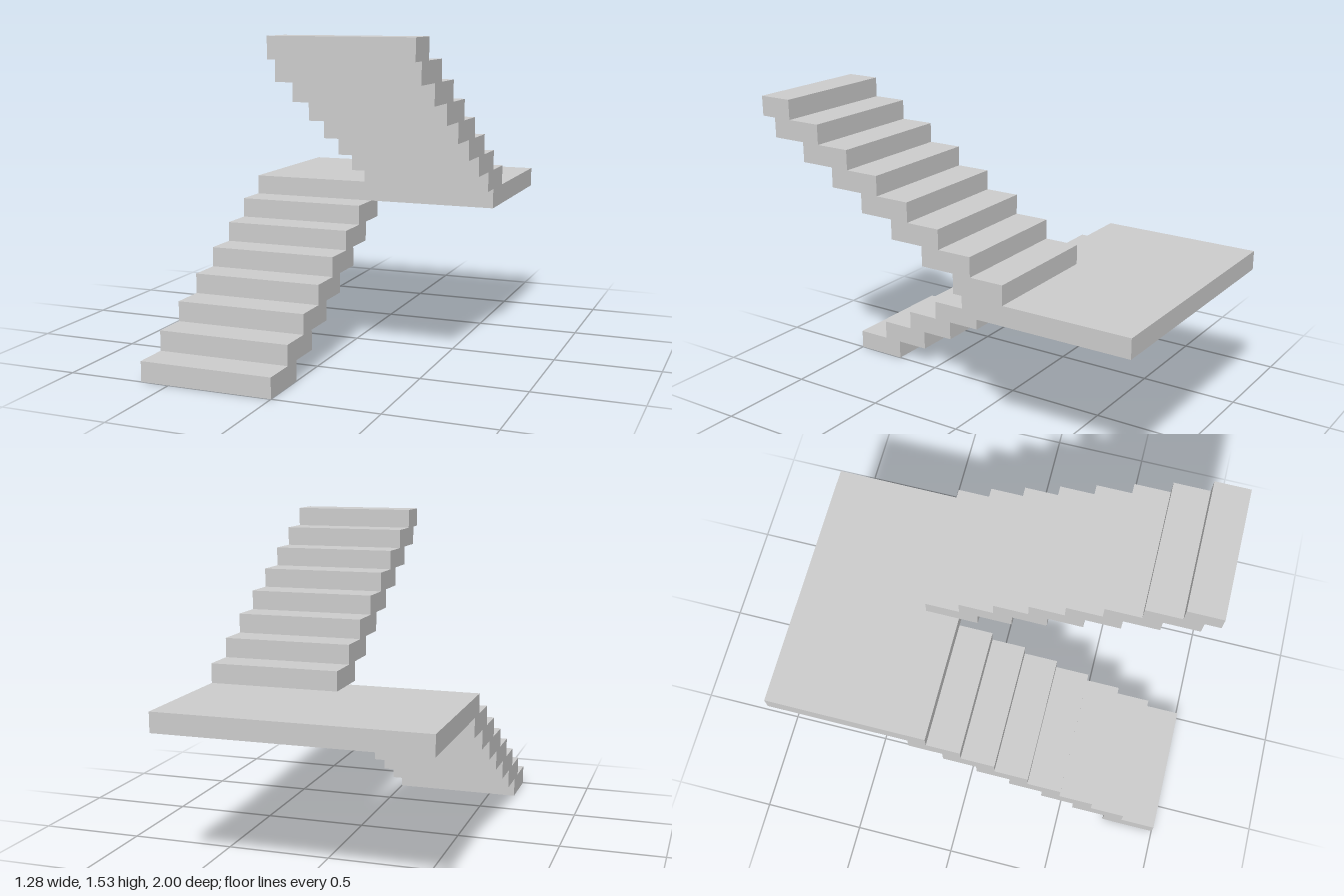
import * as THREE from 'three';

const RISE = 0.0959, RUN = 0.171, TREAD = 0.264, WIDTH = 0.638;
const LANDING_TOP = 8 * RISE;

export function createModel() {
  const model = new THREE.Group();
  const material = new THREE.MeshStandardMaterial({ color: 0xcccccc, flatShading: true });

  function add(name, geometry) {
    const mesh = new THREE.Mesh(geometry, material);
    mesh.name = name;
    model.add(mesh);
    return mesh;
  }

  // Sawtooth slab: stepped above and below, climbing along z in direction dir
  function flight(name, steps, startZ, startY, dir) {
    const above = [], below = [];
    for (let i = 0; i < steps; i++) {
      const front = startZ + dir * RUN * i;
      const back = Math.min(front + dir * TREAD, 1);
      const y = startY + RISE * i;
      above.push(new THREE.Vector2(front, y), new THREE.Vector2(front, y + RISE));
      below.unshift(new THREE.Vector2(back, y + RISE), new THREE.Vector2(back, y));
    }
    const geometry = new THREE.ExtrudeGeometry(new THREE.Shape([...above, ...below]), {
      depth: WIDTH, bevelEnabled: false,
    });
    geometry.rotateY(-Math.PI / 2); // profile x becomes z, depth runs toward -x
    return add(name, geometry);
  }

  // Lower flight climbs to the back, upper flight returns to the front
  flight('lowerFlight', 7, 1, 0, -1);
  flight('upperFlight', 8, 0.832 - 7 * RUN, LANDING_TOP, 1).position.x = WIDTH;

  // Half-turn landing spanning both flights
  const frontZ = 1 - 7 * RUN;
  add('landing', new THREE.BoxGeometry(2 * WIDTH, RISE, frontZ + 1))
    .position.set(0, LANDING_TOP - RISE / 2, (frontZ - 1) / 2);

  return model;
}
